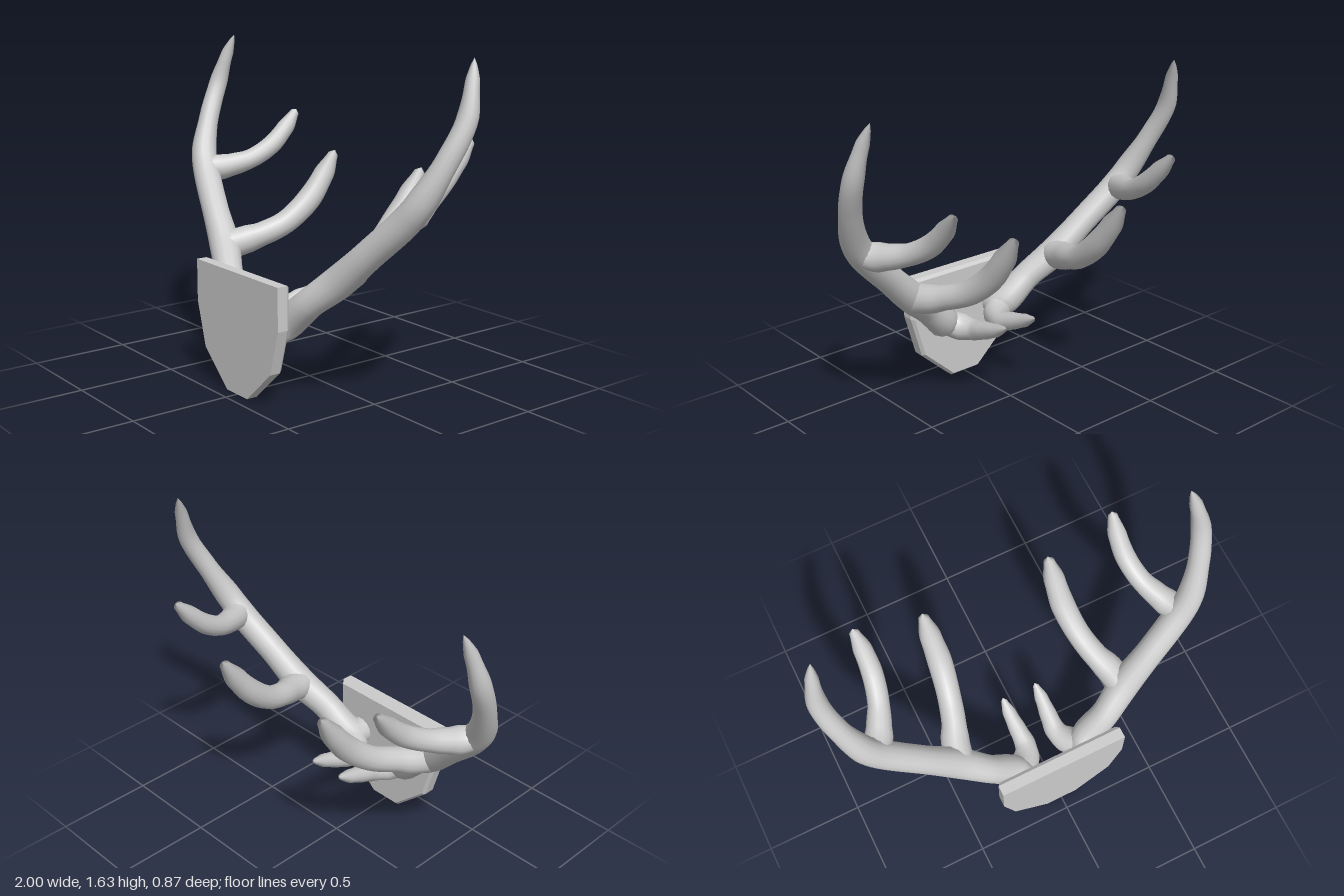
import * as THREE from 'three';
import { ConvexGeometry } from 'three/addons/geometries/ConvexGeometry.js';

const material = new THREE.MeshStandardMaterial({ color: 0xcccccc, roughness: 0.8 });

// Branch knots: [x, y, z, radius], root first, for the +x antler
const BRANCHES = {
  mainBeam: [
    [0.185, 0.36, 0.38, 0.07], [0.195, 0.37, 0.3, 0.083], [0.335, 0.5, 0.25, 0.072],
    [0.46, 0.61, 0.19, 0.078], [0.62, 0.765, 0.14, 0.07], [0.78, 0.925, 0.085, 0.07],
    [0.85, 1.02, 0.055, 0.066], [0.92, 1.2, -0.025, 0.052], [0.951, 1.37, -0.105, 0.048],
    [0.932, 1.52, -0.15, 0.033], [0.907, 1.63, -0.185, 0.01],
  ],
  browTine: [
    [0.2, 0.37, 0.32, 0.06], [0.12, 0.335, 0.25, 0.07], [0.088, 0.332, 0.18, 0.055],
    [0.088, 0.355, 0.1, 0.046], [0.092, 0.388, 0.01, 0.036], [0.092, 0.425, -0.075, 0.014],
  ],
  middleTine: [
    [0.45, 0.61, 0.17, 0.075], [0.425, 0.63, 0.08, 0.072], [0.393, 0.655, 0, 0.062],
    [0.36, 0.705, -0.12, 0.06], [0.337, 0.81, -0.25, 0.062],
    [0.334, 0.93, -0.345, 0.054], [0.333, 1.055, -0.423, 0.024],
  ],
  upperTine: [
    [0.8, 0.95, 0.07, 0.06], [0.765, 0.95, 0.01, 0.068], [0.735, 0.962, -0.05, 0.06],
    [0.695, 0.99, -0.14, 0.052], [0.667, 1.055, -0.25, 0.051],
    [0.662, 1.14, -0.34, 0.046], [0.668, 1.235, -0.422, 0.022],
  ],
};

// Tapered tube through the knots, closed to a blunt point at the tip
function taperedBranch(knots, side) {
  const curve = new THREE.CatmullRomCurve3(
    knots.map(([x, y, z]) => new THREE.Vector3(x * side, y, z)));
  const segments = knots.length * 5, sides = 14;
  const geometry = new THREE.TubeGeometry(curve, segments, 1, sides);
  const pos = geometry.attributes.position, normal = geometry.attributes.normal;
  const n = new THREE.Vector3();
  for (let i = 0; i <= segments; i++) {
    const u = i / segments, centre = curve.getPointAt(u);
    const t = curve.getUtoTmapping(u) * (knots.length - 1);
    const k = Math.min(Math.floor(t), knots.length - 2);
    const s = THREE.MathUtils.smoothstep(t - k, 0, 1);
    const radius = i === segments ? 0 : THREE.MathUtils.lerp(knots[k][3], knots[k + 1][3], s);
    for (let j = 0; j <= sides; j++) {
      const v = i * (sides + 1) + j;
      n.fromBufferAttribute(normal, v).multiplyScalar(radius).add(centre);
      pos.setXYZ(v, n.x, n.y, n.z);
    }
  }
  return geometry;
}

// One antler: main beam with three backward tines
function antler(name, side) {
  const group = new THREE.Group();
  group.name = name;
  for (const [part, knots] of Object.entries(BRANCHES)) {
    const mesh = new THREE.Mesh(taperedBranch(knots, side), material);
    mesh.name = part;
    group.add(mesh);
  }
  return group;
}

// Shield-shaped plaque: square front edge, chamfered back edge
function plaque() {
  const half = [[0.335, 0.6], [0.335, 0.39], [0.272, 0.17], [0.085, 0]];
  const points = [];
  for (const [z, scale] of [[0.435, 1], [0.38, 1], [0.363, 0.955]]) {
    for (const [x, y] of half) {
      for (const side of [-1, 1]) {
        points.push(new THREE.Vector3(x * scale * side, 0.3 + (y - 0.3) * scale, z));
      }
    }
  }
  const mesh = new THREE.Mesh(new ConvexGeometry(points), material);
  mesh.name = 'plaque';
  return mesh;
}

export function createModel() {
  const model = new THREE.Group();
  model.name = 'mountedAntlers';
  model.add(plaque(), antler('leftAntler', 1), antler('rightAntler', -1));
  return model;
}
